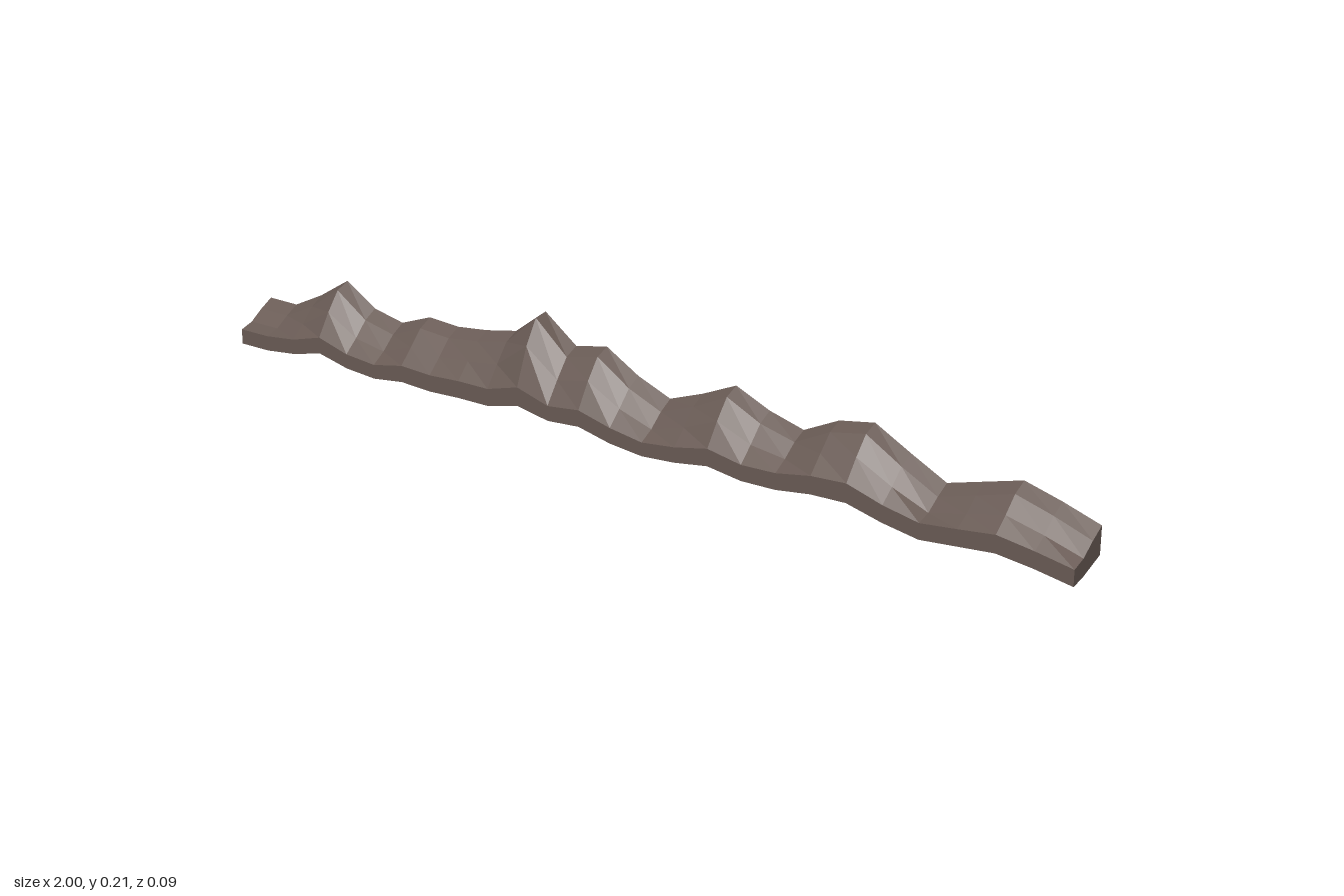
import * as THREE from 'three';

// Heights at 27 evenly spaced stations from x = -1 to x = 1
const crest = [.083, .083, .12, .167, .122, .107, .135, .131, .14, .155, .212, .157, .172, .129,
  .1, .128, .162, .13, .11, .147, .161, .121, .083, .105, .127, .107, .083];
const frontTop = [.035, .036, .045, .066, .046, .04, .055, .052, .057, .058, .079, .058, .067, .049,
  .038, .047, .063, .05, .053, .067, .072, .05, .036, .045, .055, .045, .032];
const frontBottom = [.003, .004, .013, .031, .015, .01, .02, .017, .021, .022, .04, .027, .033, .017,
  .01, .016, .028, .018, .02, .031, .034, .016, .004, .012, .02, .012, 0];

const depths = [.045, .015, -.015, -.045];
const underside = [0, .006, .017, .028];

// Cross-section loop: underside front to back, then slope back to front
function section(i) {
  const x = -1 + 2 * i / (crest.length - 1);
  const t = Math.pow(Math.max(0, (crest[i] - .083) / .129), .75);
  const rise = [0, .2 + .38 * t, .64 + .32 * t, 1];
  const low = depths.map((z, j) => [x, frontBottom[i] + underside[j], z]);
  const high = depths.map((z, j) => [x, THREE.MathUtils.lerp(frontTop[i], crest[i], rise[j]), z]);
  return [...low, ...high.reverse()];
}

function ridgeGeometry() {
  const rings = crest.map((_, i) => section(i));
  const positions = [];
  const quad = (a, b, c, d) => positions.push(...a, ...b, ...c, ...a, ...c, ...d);

  // Skin between neighbouring sections
  for (let i = 0; i < rings.length - 1; i++) {
    const p = rings[i], q = rings[i + 1];
    for (let k = 0; k < 8; k++) {
      const n = (k + 1) % 8;
      quad(p[k], p[n], q[n], q[k]);
    }
  }
  // End caps
  const first = rings[0], last = rings[rings.length - 1];
  for (let j = 0; j < 3; j++) {
    quad(last[j], last[j + 1], last[6 - j], last[7 - j]);
    quad(first[7 - j], first[6 - j], first[j + 1], first[j]);
  }

  // Unshared corners give flat facets
  const geometry = new THREE.BufferGeometry();
  geometry.setAttribute('position', new THREE.Float32BufferAttribute(positions, 3));
  geometry.computeVertexNormals();
  return geometry;
}

export function createModel() {
  const rock = new THREE.MeshStandardMaterial({ color: 0x695b55 });
  rock.name = 'brown rock';

  const ridge = new THREE.Mesh(ridgeGeometry(), rock);
  ridge.name = 'rockRidge';

  const model = new THREE.Group();
  model.name = 'mountainRidge';
  model.add(ridge);
  return model;
}
